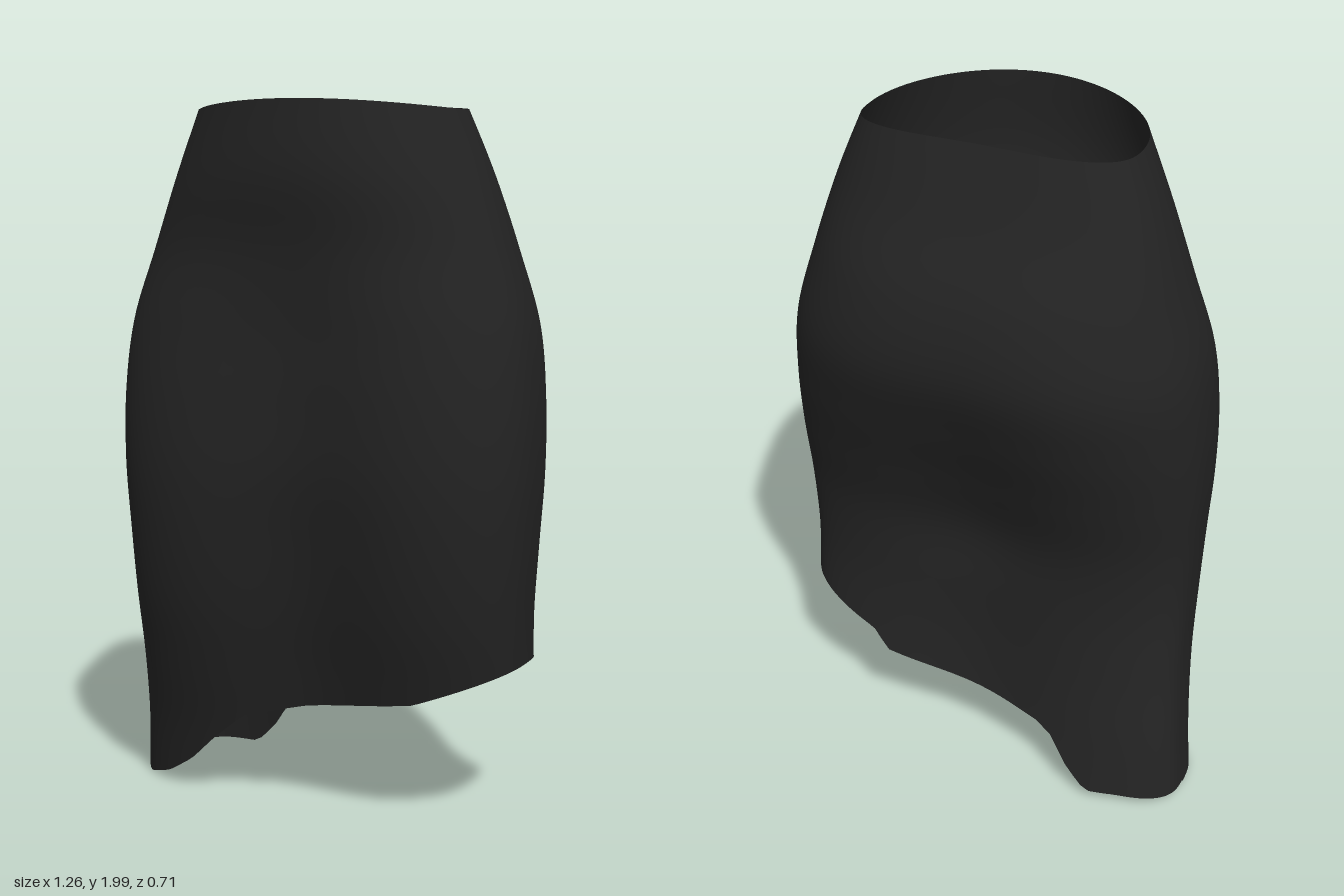
import * as THREE from 'three';

// Cross-sections every 0.2 in height, from the hem up to the waist:
// right x, left x, front z, back z, side-seam z, front hollow, back hollow, front squareness, back squareness
const SECTIONS = [
  [-0.635, 0.59, 0.16, -0.285, -0.09, 0.03, 0.03, 2.8, 3],
  [-0.61, 0.59, 0.21, -0.25, -0.06, 0.055, 0.06, 2.8, 3],
  [-0.59, 0.595, 0.27, -0.21, -0.01, 0.075, 0.05, 2.8, 3],
  [-0.585, 0.605, 0.325, -0.19, 0.03, 0.085, 0.04, 2.8, 2.8],
  [-0.59, 0.62, 0.36, -0.205, 0.04, 0.085, 0.06, 2.8, 2.6],
  [-0.6, 0.63, 0.375, -0.26, 0.04, 0.07, 0.05, 2.8, 2.5],
  [-0.6, 0.625, 0.37, -0.325, 0.04, 0.06, 0.035, 2.7, 2.4],
  [-0.58, 0.6, 0.35, -0.37, 0.03, 0.04, 0.02, 2.6, 2.3],
  [-0.52, 0.54, 0.335, -0.335, 0.03, 0.01, 0.01, 2.3, 2.3],
  [-0.45, 0.47, 0.36, -0.235, 0.02, 0, 0, 2.1, 2.5],
  [-0.365, 0.385, 0.357, -0.155, 0.03, 0, 0, 2, 3],
];

// Slanted hem heights as [x, y], right side to left side
const FRONT_HEM = [[-0.63, 0.025], [-0.57, 0.005], [-0.47, 0.04], [-0.38, 0.1], [-0.3, 0.18],
  [-0.2, 0.265], [0, 0.315], [0.35, 0.37], [0.63, 0.475]];
const BACK_HEM = [[-0.63, 0.025], [-0.45, 0.04], [-0.36, 0.035], [-0.3, 0.1], [-0.25, 0.18],
  [-0.2, 0.21], [0, 0.25], [0.3, 0.31], [0.35, 0.37], [0.63, 0.475]];

const table = (Type, keys, rows) => new Type(keys, rows.flat(), rows[0].length, new Float32Array(rows[0].length));
const sectionAt = table(THREE.CubicInterpolant, SECTIONS.map((_, i) => i * 0.2), SECTIONS);
const hemTable = (points) => table(THREE.LinearInterpolant, points.map((p) => p[0]), points.map((p) => [p[1]]));
const frontHem = hemTable(FRONT_HEM);
const backHem = hemTable(BACK_HEM);

// Radius of a unit superellipse in the direction (c, s)
const radius = (c, s, n) => (Math.abs(c) ** n + Math.abs(s) ** n) ** (-1 / n);

function skirtPoint(angle, t) {
  const c = Math.cos(angle);
  const s = Math.sin(angle);
  const front = s >= 0;
  const hem = (front ? frontHem : backHem).evaluate(0.615 * c * radius(c, s, 2.8))[0];
  const top = 1.978 + 0.022 * s * s;
  const y = hem + (top - hem) * t;
  const [xr, xl, zf, zb, zm, hollowF, hollowB, nF, nB] = sectionAt.evaluate(Math.min(y, 2));
  const r = radius(c, s, front ? nF : nB);
  const u = c * r;
  const depth = (front ? zf : -zb) + (front ? -zm : zm);
  // Shallow hollow between the legs, fading out toward the side seams
  const hollow = (front ? hollowF : hollowB) * Math.exp(-((u / 0.45) ** 2)) * Math.abs(s);
  const z = zm + s * r * depth - Math.sign(s) * hollow;
  return [(xl + xr) / 2 + (u * (xl - xr)) / 2, y, z];
}

// Closed loop of columns running from hem to waist
function skirtGeometry(columns, rows) {
  const positions = [];
  const index = [];
  for (let j = 0; j <= rows; j++) {
    for (let i = 0; i < columns; i++) {
      positions.push(...skirtPoint((i / columns) * Math.PI * 2, j / rows));
      if (j === rows) continue;
      const a = j * columns + i;
      const b = j * columns + ((i + 1) % columns);
      index.push(a, a + columns, b, b, a + columns, b + columns);
    }
  }
  const geometry = new THREE.BufferGeometry();
  geometry.setAttribute('position', new THREE.Float32BufferAttribute(positions, 3));
  geometry.setIndex(index);
  geometry.computeVertexNormals();
  return geometry;
}

export function createModel() {
  const fabric = new THREE.MeshStandardMaterial({ color: 0x232323, side: THREE.DoubleSide });
  fabric.name = 'black fabric';
  const skirt = new THREE.Mesh(skirtGeometry(160, 60), fabric);
  skirt.name = 'skirt';
  const model = new THREE.Group();
  model.name = 'asymmetricSkirt';
  model.add(skirt);
  return model;
}
